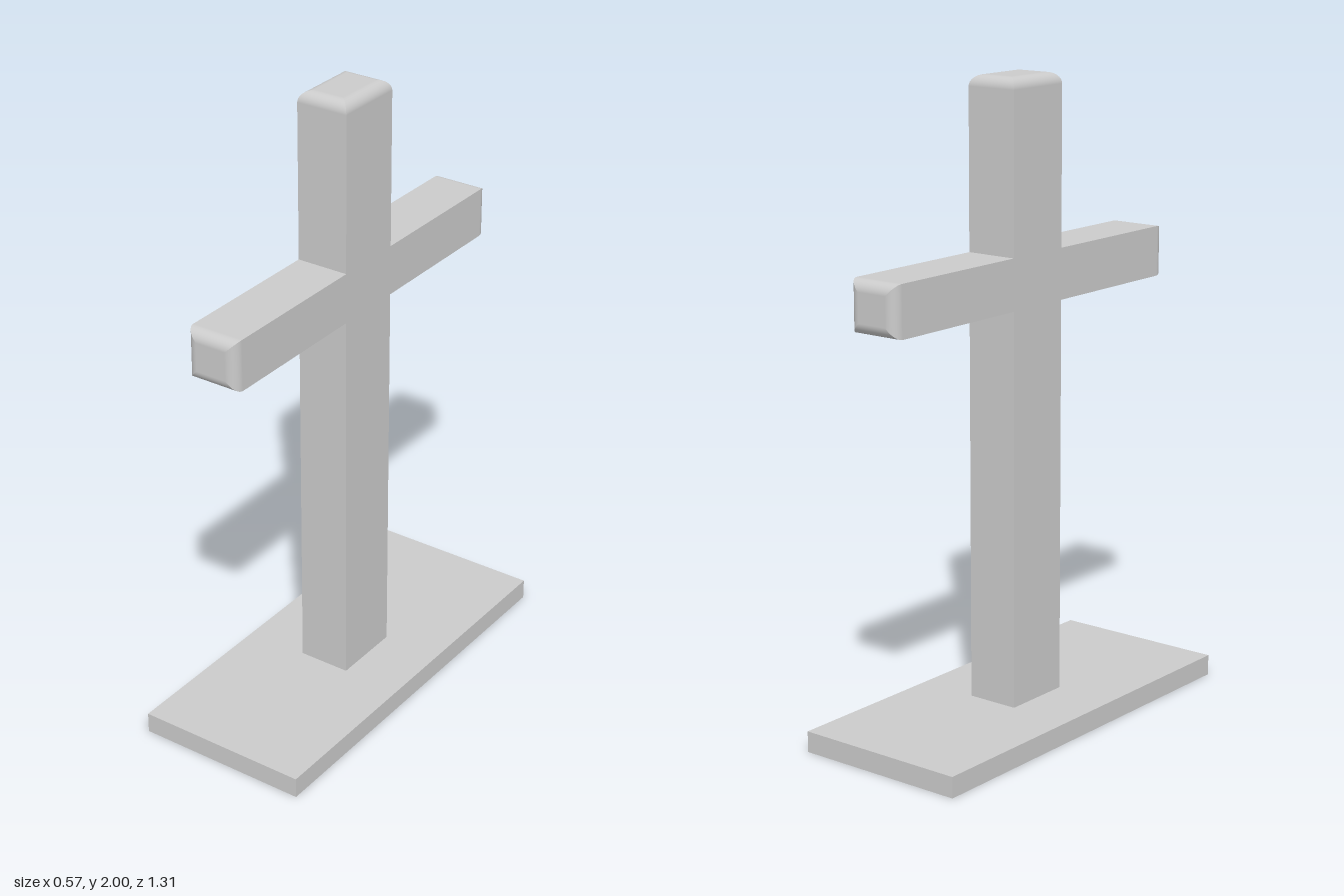
import * as THREE from 'three';

const material = new THREE.MeshStandardMaterial({ color: 0xcccccc });

// Rectangular bar rising from y = 0, its far end rounded on all four edges with mitred corners
function roundedEndBar(halfX, halfZ, length, radius, steps = 8) {
  const position = [], normal = [], index = [];
  const rows = [{ y: 0, a: 0 }];
  for (let i = 0; i <= steps; i++) {
    const a = (i / steps) * Math.PI / 2;
    rows.push({ y: length - radius + radius * Math.sin(a), a });
  }
  // Four sides, each a flat wall that curls over into the end
  for (let side = 0; side < 4; side++) {
    const s = Math.round(Math.sin(side * Math.PI / 2));
    const c = Math.round(Math.cos(side * Math.PI / 2));
    const start = position.length / 3;
    rows.forEach(({ y, a }, i) => {
      const inset = radius * (1 - Math.cos(a));
      const hx = halfX - inset, hz = halfZ - inset;
      for (const t of [-1, 1]) {
        position.push((s + t * c) * hx, y, (c - t * s) * hz);
        normal.push(s * Math.cos(a), Math.sin(a), c * Math.cos(a));
      }
      if (i > 0) {
        const p = start + 2 * (i - 1);
        index.push(p, p + 1, p + 3, p, p + 3, p + 2);
      }
    });
  }
  // Flat end face
  const cap = position.length / 3;
  const hx = halfX - radius, hz = halfZ - radius;
  for (const [x, z] of [[-1, 1], [1, 1], [1, -1], [-1, -1]]) {
    position.push(x * hx, length, z * hz);
    normal.push(0, 1, 0);
  }
  index.push(cap, cap + 1, cap + 2, cap, cap + 2, cap + 3);

  const geometry = new THREE.BufferGeometry();
  geometry.setAttribute('position', new THREE.Float32BufferAttribute(position, 3));
  geometry.setAttribute('normal', new THREE.Float32BufferAttribute(normal, 3));
  geometry.setIndex(index);
  return geometry;
}

export function createModel() {
  const model = new THREE.Group();
  const add = (name, geometry, x, y, z) => {
    const mesh = new THREE.Mesh(geometry, material);
    mesh.name = name;
    mesh.position.set(x, y, z);
    model.add(mesh);
    return mesh;
  };

  const baseHeight = 0.066, centreX = 0.004, halfX = 0.085, postHalfZ = 0.115, radius = 0.035;

  // Flat base plate
  add('base', new THREE.BoxGeometry(0.566, baseHeight, 1.306), 0, baseHeight / 2, 0);

  // Upright
  add('post', roundedEndBar(halfX, postHalfZ, 2 - baseHeight, radius), centreX, baseHeight, 0);

  // Crossbar arms, flush with the post front to back
  for (const side of [1, -1]) {
    const arm = add(side > 0 ? 'frontArm' : 'backArm',
      roundedEndBar(halfX, 0.08, 0.65 - postHalfZ, radius), centreX, 1.391, side * postHalfZ);
    arm.rotation.x = side * Math.PI / 2;
  }
  return model;
}
